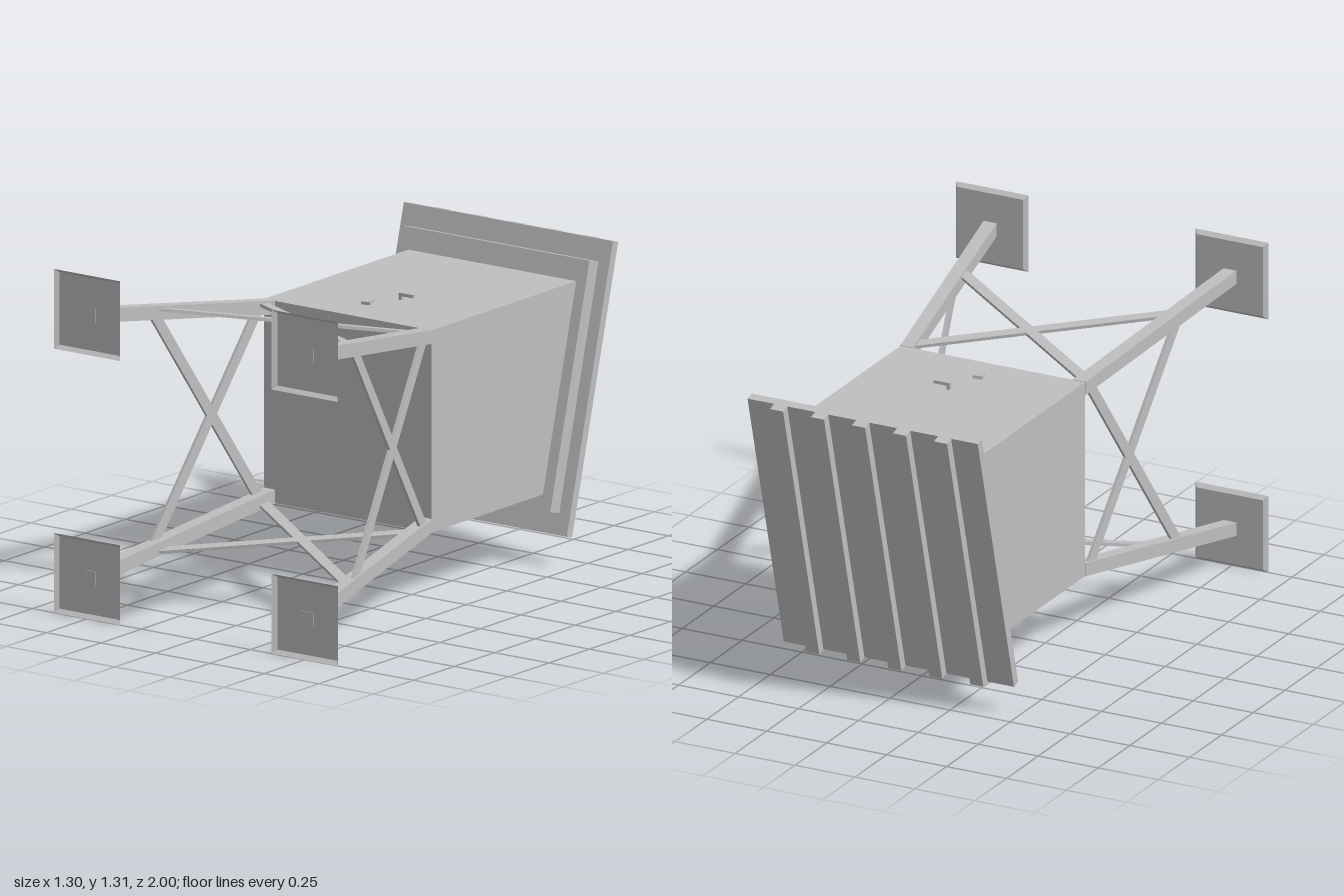
import * as THREE from 'three';

const CY = 0.655;      // height of the long axis
const FRONT = 0.06;    // front face of the cabin
const TILT = THREE.MathUtils.degToRad(15);
const SPLAY = 0.152;   // sideways run of a leg per unit of z

export function createModel() {
  const grey = new THREE.MeshStandardMaterial({ color: 0xbfbfbf });
  grey.name = 'plain grey';
  grey.side = THREE.DoubleSide;
  const root = new THREE.Group();
  root.name = 'stiltedCabin';

  const add = (parent, name, geo, x = 0, y = 0, z = 0) => {
    const m = new THREE.Mesh(geo, grey);
    m.name = name;
    m.position.set(x, y, z);
    parent.add(m);
    return m;
  };
  const box = (parent, name, w, h, d, x, y, z) =>
    add(parent, name, new THREE.BoxGeometry(w, h, d), x, y, z);

  // Move every vertex by a rule, then refresh the normals
  const reshape = (geo, rule) => {
    const p = geo.attributes.position;
    const v = new THREE.Vector3();
    for (let i = 0; i < p.count; i++) {
      rule(v.fromBufferAttribute(p, i));
      p.setXYZ(i, v.x, v.y, v.z);
    }
    geo.computeVertexNormals();
    return geo;
  };

  // Cabin: a box whose far end is cut along the roof slope
  const backZ = y => -(0.537 + y * Math.sin(TILT)) / Math.cos(TILT);
  add(root, 'cabin', reshape(new THREE.BoxGeometry(0.77, 0.77, 1), v => {
    v.y += CY;
    v.z = v.z > 0 ? FRONT : backZ(v.y);
  }));

  // Sloping roof: two stacked slabs with raised ribs
  const roof = new THREE.Group();
  roof.name = 'roof';
  roof.rotation.x = -TILT;
  root.add(roof);
  box(roof, 'roofUnderSlab', 0.86, 0.94, 0.058, 0, 0.834, -0.566);
  box(roof, 'roofTopSlab', 0.96, 1.104, 0.034, 0, 0.835, -0.612);
  for (let i = -2; i <= 2; i++) {
    box(roof, 'roofRib', 0.055, 1.104, 0.034, i * 0.171, 0.835, -0.646);
  }

  // Legs and foot trays, one on each corner
  const legEnd = 0.985;
  const len = legEnd - FRONT;
  for (const sx of [-1, 1]) for (const sy of [-1, 1]) {
    add(root, 'leg', reshape(new THREE.BoxGeometry(0.053, 0.053, len), v => {
      v.z += FRONT + len / 2;
      const off = 0.36 + (v.z - FRONT) * SPLAY;
      v.x += sx * off;
      v.y += CY + sy * off;
    }));

    const foot = new THREE.Group();
    foot.name = 'foot';
    foot.position.set(sx * 0.5, CY + sy * 0.503, 0);
    root.add(foot);
    let rim = new THREE.CylinderGeometry(0.138 * Math.SQRT2, 0.152 * Math.SQRT2,
      0.017, 4, 1, true, Math.PI / 4);
    rim.rotateX(-Math.PI / 2);
    rim = rim.toNonIndexed();
    rim.computeVertexNormals();
    add(foot, 'footRim', rim, 0, 0, 0.9915);
    add(foot, 'footPlate', new THREE.PlaneGeometry(0.276, 0.276), 0, 0, 0.983);
  }

  // Crossed braces, the same pair on all four sides
  const normal = new THREE.Vector3(0, 1, -SPLAY).normalize();
  const braceY = z => 0.372 + (z - FRONT) * SPLAY;
  for (let k = 0; k < 4; k++) {
    const side = new THREE.Group();
    side.name = 'braceSide';
    side.position.y = CY;
    side.rotation.z = k * Math.PI / 2;
    root.add(side);
    for (const s of [-1, 1]) {
      const a = new THREE.Vector3(-s * 0.355, braceY(0.106), 0.106);
      const b = new THREE.Vector3(s * 0.435, braceY(0.639), 0.639);
      const dir = b.clone().sub(a);
      const length = dir.length();
      dir.normalize();
      const across = new THREE.Vector3().crossVectors(dir, normal);
      const brace = box(side, 'brace', length, 0.012, 0.042, 0, 0, 0);
      brace.position.copy(a).add(b).multiplyScalar(0.5);
      brace.quaternion.setFromRotationMatrix(
        new THREE.Matrix4().makeBasis(dir, normal, across));
    }
  }

  // Small fittings on the upper wall: a bent handle and a latch
  box(root, 'handleBar', 0.065, 0.012, 0.016, 0.054, 1.061, -0.235);
  box(root, 'handleStem', 0.012, 0.025, 0.016, 0.027, 1.052, -0.235);
  const latch = box(root, 'latch', 0.036, 0.012, 0.04, -0.025, 1.053, -0.097);
  latch.rotation.set(0.1, 0.2, 0);

  return root;
}
